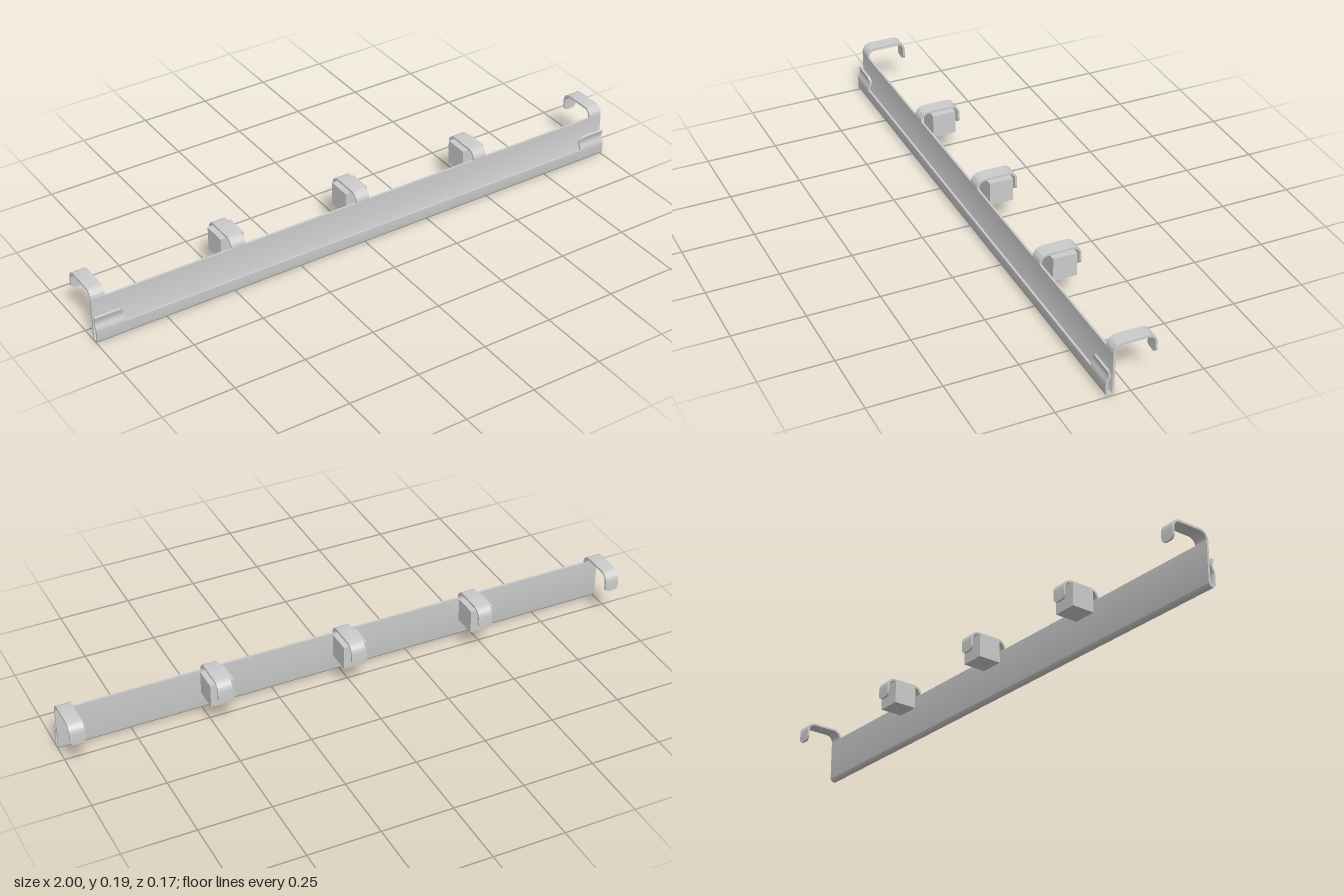
import * as THREE from 'three';
import { toCreasedNormals } from 'three/addons/utils/BufferGeometryUtils.js';

const HALF = 0.0037; // half the sheet thickness
const material = new THREE.MeshStandardMaterial({ color: 0xcccccc });

// Extends a path straight to (z, y), with extra points where the tip is rounded
function lineToTip(path, z, y, r) {
  const from = path.currentPoint.clone();
  const to = new THREE.Vector2(z, y);
  const length = from.distanceTo(to);
  for (let i = 0; i <= 6; i++) {
    const back = r * (1 - Math.sin((i / 6) * Math.PI / 2));
    const p = from.clone().lerp(to, 1 - back / length);
    path.lineTo(p.x, p.y);
  }
}

// Bent sheet: a (z, y) centre line given thickness, spanning x0..x1.
// r0 and r1 round the corners of the far tip on either side.
function bentSheet(path, x0, x1, r0 = 0, r1 = 0) {
  const pts = path.getPoints(8).filter((p, i, all) => i === 0 || p.distanceTo(all[i - 1]) > 1e-6);
  const toTip = pts.map(() => 0);
  for (let i = pts.length - 2; i >= 0; i--) toTip[i] = toTip[i + 1] + pts[i].distanceTo(pts[i + 1]);
  const inset = (d, r) => (d < r ? r - Math.sqrt(r * r - (r - d) ** 2) : 0);

  const position = [];
  const index = [];
  pts.forEach((p, i) => {
    const before = pts[Math.max(i - 1, 0)];
    const after = pts[Math.min(i + 1, pts.length - 1)];
    const a = p.clone().sub(before).normalize();
    const dir = after.clone().sub(p).normalize().add(a).normalize();
    const nz = -dir.y * HALF;
    const ny = dir.x * HALF;
    const l = x0 + inset(toTip[i], r0);
    const r = x1 - inset(toTip[i], r1);
    position.push(l, p.y + ny, p.x + nz, r, p.y + ny, p.x + nz);
    position.push(r, p.y - ny, p.x - nz, l, p.y - ny, p.x - nz);
    if (i === 0) return;
    for (let j = 0; j < 4; j++) {
      const k = (j + 1) % 4;
      const s = 4 * (i - 1);
      const e = 4 * i;
      index.push(s + j, e + j, s + k, s + k, e + j, e + k);
    }
  });
  const e = 4 * (pts.length - 1);
  index.push(0, 1, 2, 0, 2, 3, e, e + 2, e + 1, e, e + 3, e + 2);

  const geometry = new THREE.BufferGeometry();
  geometry.setAttribute('position', new THREE.Float32BufferAttribute(position, 3));
  geometry.setIndex(index);
  return toCreasedNormals(geometry, 0.6);
}

export function createModel() {
  const group = new THREE.Group();
  const add = (name, geometry) => {
    const mesh = new THREE.Mesh(geometry, material);
    mesh.name = name;
    group.add(mesh);
    return mesh;
  };

  // Long plate, folded forward at the bottom into a channel
  const platePath = new THREE.Path();
  platePath.moveTo(0.059, 0.1555);
  platePath.lineTo(0.059, 0.0148);
  platePath.absarc(0.07, 0.0148, 0.011, Math.PI, 2 * Math.PI, false);
  platePath.lineTo(0.081, 0.05);
  add('channelPlate', bentSheet(platePath, -1, 1));

  // Pinched spring clips rising from both ends of the channel lip
  const clipPath = new THREE.Path();
  clipPath.moveTo(0.081, 0.05);
  clipPath.quadraticCurveTo(0.081, 0.055, 0.0785, 0.06);
  clipPath.lineTo(0.073, 0.0705);
  clipPath.quadraticCurveTo(0.0708, 0.075, 0.0725, 0.08);
  lineToTip(clipPath, 0.077, 0.098, 0.018);
  add('leftClip', bentSheet(clipPath, 0.9, 1, 0.018, 0));
  add('rightClip', bentSheet(clipPath, -1, -0.9, 0, 0.018));

  // Five hooks bent backward over the top
  const hookPath = new THREE.Path();
  hookPath.moveTo(0.059, 0.1555);
  hookPath.absarc(0.031, 0.1555, 0.028, 0, Math.PI / 2, false);
  hookPath.lineTo(-0.0525, 0.1835);
  hookPath.absarc(-0.0525, 0.1555, 0.028, Math.PI / 2, Math.PI, false);
  lineToTip(hookPath, -0.0805, 0.116, 0.015);
  for (const x of [-0.975, -0.475, 0, 0.475, 0.975]) {
    add('hook', bentSheet(hookPath, x - 0.025, x + 0.025, 0.015, 0.015));
  }

  // Square blocks held inside the three inner hooks
  for (const x of [-0.475, 0, 0.475]) {
    add('block', new THREE.BoxGeometry(0.084, 0.084, 0.084)).position.set(x, 0.133, -0.019);
  }
  return group;
}
